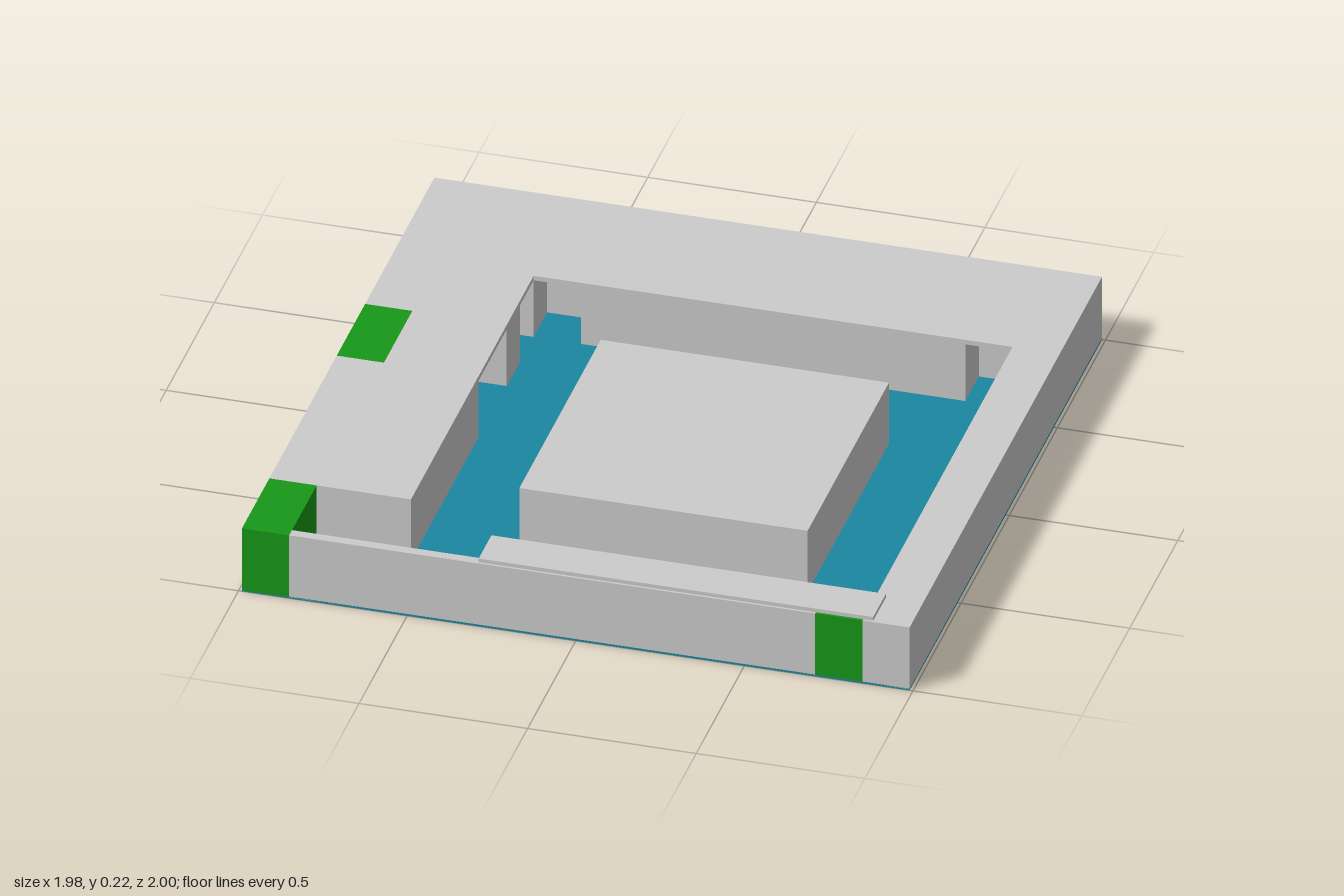
import * as THREE from 'three';

const grey = new THREE.MeshStandardMaterial({ color: 0xcccccc });
const blue = new THREE.MeshStandardMaterial({ color: 0x1a87a0 });
const green = new THREE.MeshStandardMaterial({ color: 0x179817 });

const BASE = 0.003; // wall bottoms sit just inside the floor sheet
const TOP = 0.21;
const ROOF = 0.195; // underside of the slabs that cover openings

export function createModel() {
  const model = new THREE.Group();

  // Box given by its extents on each axis
  function block(name, x0, x1, z0, z1, material = grey, y0 = BASE, y1 = TOP) {
    const mesh = new THREE.Mesh(new THREE.BoxGeometry(x1 - x0, y1 - y0, z1 - z0), material);
    mesh.position.set((x0 + x1) / 2, (y0 + y1) / 2, (z0 + z1) / 2);
    mesh.name = name;
    model.add(mesh);
  }

  // Floor sheet
  block('floor', -0.99, 0.99, -1, 1, blue, 0, 0.006);

  // Back wall: solid rear part, then an inner row with a recess at either end
  block('backWall', -0.99, 0.99, -1, -0.7);
  block('backWallCorner', -0.99, -0.57, -0.7, -0.56);
  block('backWallInner', -0.43, 0.71, -0.7, -0.56);
  block('backRecessRoof', -0.57, -0.43, -0.7, -0.56, grey, ROOF);
  block('backRecessRoof', 0.71, 0.85, -0.7, -0.56, grey, ROOF);

  // Left-hand side wall of the yard, running its whole depth
  block('sideWall', 0.85, 0.99, -0.7, 1);

  // Thick side opposite: alcove, pillar, roofed passage and solid block
  block('alcoveWall', -0.99, -0.71, -0.56, -0.42);
  block('alcoveRoof', -0.71, -0.57, -0.56, -0.42, grey, ROOF);
  block('passagePillar', -0.99, -0.57, -0.42, -0.28);
  block('passageRoof', -0.85, -0.57, -0.28, 0.015, grey, ROOF);
  block('sideBlock', -0.99, -0.57, 0.015, 0.715);

  // Doors
  block('sideDoor', -0.99, -0.85, -0.28, 0.015, green);
  block('cornerDoor', -0.99, -0.85, 0.715, 1, green);
  block('frontDoor', 0.71, 0.85, 0.86, 1, green);

  // Front wall: thin parapet, thick middle and raised cover slab
  block('frontParapet', -0.85, -0.29, 0.97, 1);
  block('frontWall', -0.29, 0.43, 0.86, 1);
  block('frontRecessWall', 0.43, 0.71, 0.97, 1);
  block('frontCover', -0.29, 0.88, 0.86, 0.993, grey, TOP, 0.222);

  // Central island
  block('island', -0.29, 0.565, -0.275, 0.57);

  return model;
}
